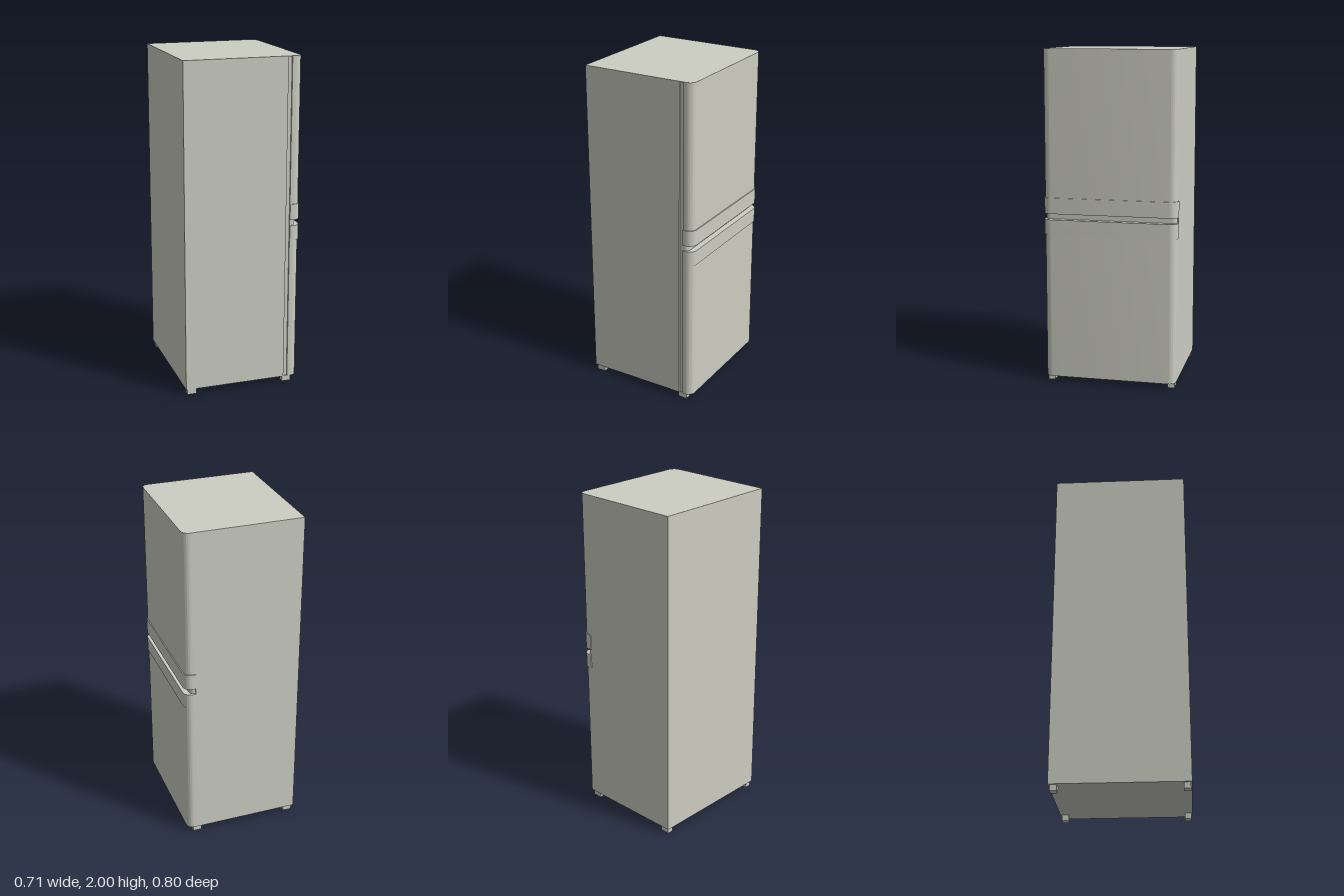
import * as THREE from 'three';
import { toCreasedNormals } from 'three/addons/utils/BufferGeometryUtils.js';

export function createModel() {
  const model = new THREE.Group();
  model.name = 'refrigerator';
  const enamel = new THREE.MeshStandardMaterial({ color: 0xcccdc2 });
  enamel.name = 'warm grey enamel';

  function add(name, geometry, x = 0, y = 0, z = 0) {
    const mesh = new THREE.Mesh(geometry, enamel);
    mesh.name = name;
    mesh.position.set(x, y, z);
    model.add(mesh);
  }

  // Box given by its limits on each axis
  function block(name, x0, x1, y0, y1, z0, z1) {
    add(name, new THREE.BoxGeometry(x1 - x0, y1 - y0, z1 - z0),
      (x0 + x1) / 2, (y0 + y1) / 2, (z0 + z1) / 2);
  }

  // Upright slab whose two outer (+x) corners are rounded
  function roundedSlab(name, x0, x1, y0, y1, half, r) {
    const s = new THREE.Shape();
    s.moveTo(x0, -half);
    s.lineTo(x1 - r, -half);
    s.absarc(x1 - r, -half + r, r, -Math.PI / 2, 0, false);
    s.lineTo(x1, half - r);
    s.absarc(x1 - r, half - r, r, 0, Math.PI / 2, false);
    s.lineTo(x0, half);
    s.closePath();
    const g = new THREE.ExtrudeGeometry(s, { depth: y1 - y0, bevelEnabled: false, curveSegments: 12 });
    g.rotateX(-Math.PI / 2);
    add(name, toCreasedNormals(g, 0.5), 0, y0, 0);
  }

  // Cabinet, with a seal recessed on the opening side and a flush top strip
  block('cabinet', -0.357, 0.263, 0.035, 2, -0.397, 0.397);
  block('doorSeal', 0.263, 0.287, 0.035, 1.996, -0.397, 0.387);
  block('topStrip', 0.263, 0.287, 1.996, 2, -0.397, 0.397);

  // Doors and the recessed rail between them
  roundedSlab('lowerDoor', 0.287, 0.349, 0.035, 1.0, 0.397, 0.042);
  roundedSlab('upperDoor', 0.287, 0.349, 1.035, 2, 0.397, 0.042);
  roundedSlab('middleRail', 0.287, 0.32, 1.0, 1.035, 0.392, 0.025);

  // Wrap-around grip bands along the meeting edges of the doors
  roundedSlab('lowerGrip', 0.287, 0.355, 0.91, 1.0, 0.402, 0.048);
  roundedSlab('upperGrip', 0.287, 0.355, 1.035, 1.13, 0.402, 0.048);

  // Feet
  for (const x of [-0.347, 0.257]) {
    for (const z of [-0.387, 0.35]) {
      block('foot', x, x + 0.055, 0, 0.035, z, z + 0.04);
    }
  }
  return model;
}
